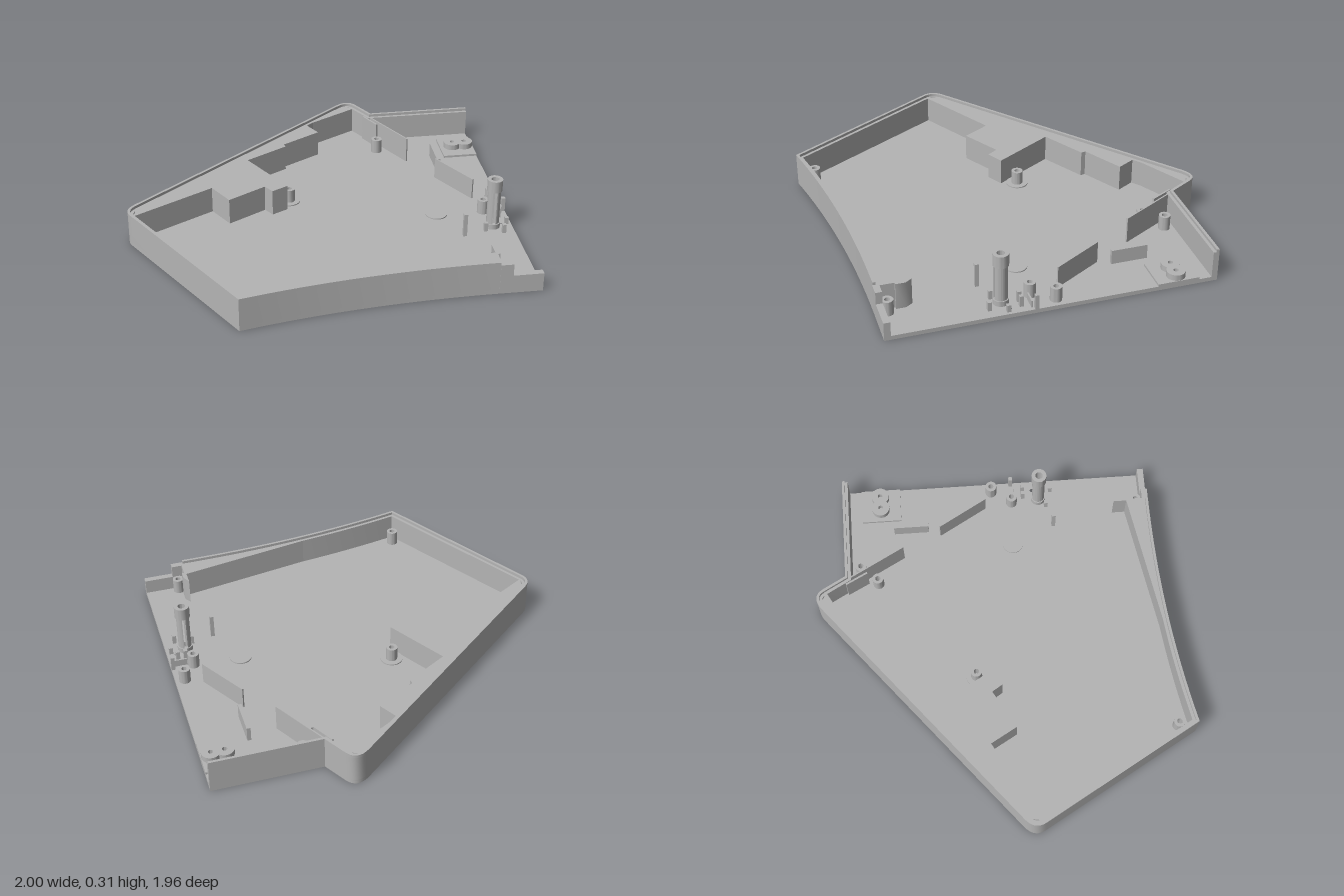
import * as THREE from 'three';
import { toCreasedNormals } from 'three/addons/utils/BufferGeometryUtils.js';

const plastic = new THREE.MeshStandardMaterial({ color: 0xb4b4b4 });
plastic.name = 'grey plastic';

const FLOOR = 0.022, LEDGE = 0.165, RIM = 0.18;

// plan points are [x, z]; shapes are drawn with y = -z and stood up on the y axis
const toShape = pts => new THREE.Shape(pts.map(([x, z]) => new THREE.Vector2(x, -z)));
const circle = (x, z, r) => new THREE.Path().absarc(x, -z, r, 0, Math.PI * 2, true);
const disc = (x, z, r) => new THREE.Shape().absarc(x, -z, r, 0, Math.PI * 2, false);

function curve(a, c, b, n) {
  const q = new THREE.QuadraticBezierCurve(...[a, c, b].map(p => new THREE.Vector2(...p)));
  return q.getPoints(n).map(p => [p.x, p.y]);
}

// band of given thickness on the inner side of an open outline
function band(pts, t) {
  const inner = pts.map((p, i) => {
    const dir = (a, b) => {
      const l = Math.hypot(b[0] - a[0], b[1] - a[1]);
      return [(b[0] - a[0]) / l, (b[1] - a[1]) / l];
    };
    const d1 = i > 0 ? dir(pts[i - 1], p) : dir(p, pts[i + 1]);
    const d2 = i < pts.length - 1 ? dir(p, pts[i + 1]) : d1;
    const n = [-d1[1] - d2[1], d1[0] + d2[0]];
    const k = 2 * t / (n[0] * n[0] + n[1] * n[1]);
    return [p[0] + n[0] * k, p[1] + n[1] * k];
  });
  return toShape([...pts, ...inner.reverse()]);
}

export function createModel() {
  const model = new THREE.Group();

  const prism = (name, shape, y0, y1, holes = []) => {
    shape.holes.push(...holes);
    const g = new THREE.ExtrudeGeometry(shape, { depth: y1 - y0, bevelEnabled: false, curveSegments: 16 });
    g.rotateX(-Math.PI / 2).translate(0, y0, 0);
    const mesh = new THREE.Mesh(toCreasedNormals(g, 0.6), plastic);
    mesh.name = name;
    model.add(mesh);
    return mesh;
  };
  const block = (name, x0, x1, z0, z1, y0, y1) =>
    prism(name, toShape([[x0, z0], [x1, z0], [x1, z1], [x0, z1]]), y0, y1);
  const rib = (name, a, b, t, y1) => prism(name, band([a, b], t), FLOOR, y1);

  // outline from the front notch, round the left side, to the open right end
  const front = curve([0.78, 0.843], [0.1, 0.84], [-0.51, 0.975], 16);
  const outline = [
    ...front,
    ...curve([-0.985, 0.145], [-1.022, 0.085], [-0.965, 0.035], 8),
    ...curve([0.25, -0.96], [0.325, -1.02], [0.365, -0.95], 8),
    [0.432, -0.83], [1, -0.83],
  ];

  // floor in two layers: foot recesses below, small sockets above
  const feet = [[0.45, -0.67], [0.63, 0.09], [-0.13, -0.16], [-0.48, 0.885]];
  const sockets = [[0.19, -0.375], [0.425, 0.035], [-0.245, 0.185], [0.255, 0.195], [-0.58, 0.335], [0.01, 0.395]];
  const through = [[0.88, -0.63], [0.95, -0.63], [0.95, 0.22]];
  const drill = () => through.map(([x, z]) => circle(x, z, 0.013));
  const plan = [...outline, [1, 0.845]];
  prism('floorUnderside', toShape(plan), 0, 0.01,
    [...drill(), ...feet.map(([x, z]) => circle(x, z, 0.05))]);
  prism('floor', toShape(plan), 0.01, FLOOR,
    [...drill(), ...sockets.map(([x, z]) => circle(x, z, 0.022))]);
  feet.slice(1, 3).forEach(([x, z]) => prism('footPad', disc(x, z, 0.058), FLOOR, FLOOR + 0.006));

  // outer wall with a thinner lip on top
  prism('outerWall', band(outline, 0.03), FLOOR, LEDGE);
  prism('wallLip', band(outline, 0.014), LEDGE, RIM);

  // stepped shelf along the back and wedge along the front
  prism('backShelf', toShape([
    [-0.97, 0.125], [-0.55, -0.11], [-0.47, 0.03], [-0.27, -0.085], [-0.235, -0.03], [-0.15, -0.075],
    [-0.33, -0.39], [-0.105, -0.52], [-0.11, -0.545], [0.1, -0.665], [0.045, -0.765], [0.35, -0.935],
    [0.3, -0.96], [0.26, -0.95], [-0.955, 0.05],
  ]), FLOOR, LEDGE);
  prism('frontWedge', toShape([...front, [-0.5, 0.95], [0.78, 0.725]]), FLOOR, LEDGE);

  // lower front wall beside the open end, with its end tab
  block('frontWallStep', 0.78, 0.845, 0.812, 0.845, FLOOR, LEDGE);
  block('frontWallLow', 0.845, 1, 0.812, 0.845, FLOOR, 0.1);
  prism('endTab', toShape([[0.78, 0.655], [0.803, 0.69], [0.803, 0.74], [0.79, 0.74], [0.79, 0.82], [0.78, 0.82]]), FLOOR, LEDGE);

  // ribs standing on the floor
  rib('backRib', [0.395, -0.83], [0.455, -0.715], 0.01, LEDGE);
  rib('backLongRib', [0.425, -0.82], [0.592, -0.515], 0.008, LEDGE);
  rib('middleRib', [0.712, -0.31], [0.862, -0.05], 0.008, 0.14);
  block('supportBlock', 0.732, 0.752, -0.56, -0.37, FLOOR, 0.1);

  // screw bosses
  [[0.44, -0.66], [0.52, -0.75], [-0.13, -0.16], [0.95, -0.01], [0.88, 0.1], [0.82, 0.785], [-0.48, 0.885]]
    .forEach(([x, z]) => prism('screwBoss', disc(x, z, 0.03), FLOOR, 0.1, [circle(x, z, 0.014)]));

  // connector plate with two drilled discs
  prism('connectorPlate', toShape([[0.81, -0.735], [1, -0.735], [1, -0.52], [0.81, -0.52]]), FLOOR, 0.034,
    drill().slice(0, 2));
  [0.88, 0.95].forEach(x =>
    prism('connectorDisc', disc(x, -0.63, 0.048), 0.034, 0.065, [circle(x, -0.63, 0.013)]));

  // tall slotted post with a collar
  const px = 0.895, pz = 0.25;
  [0, Math.PI].forEach(turn => {
    const half = new THREE.Shape();
    half.absarc(px, -pz, 0.034, turn - 1.3, turn + 1.3, false);
    half.absarc(px, -pz, 0.02, turn + 1.1, turn - 1.1, true);
    prism('postHalf', half, FLOOR, 0.24);
  });
  prism('postCollar', disc(px, pz, 0.04), 0.24, 0.305, [circle(px, pz, 0.02)]);
  prism('postBase', disc(px, pz, 0.04), FLOOR, 0.05, [circle(px, pz, 0.02)]);

  // small guide pins around the post
  [[0.73, 0.322, 0.15], [0.95, 0.165, 0.08], [0.85, 0.29, 0.07], [0.975, 0.235, 0.06],
    [0.91, 0.165, 0.08], [0.94, 0.32, 0.07], [0.99, 0.1, 0.1]]
    .forEach(([x, z, h]) => block('guidePin', x - 0.01, x + 0.01, z - 0.01, z + 0.01, FLOOR, h));
  block('guideBar', 0.91, 0.98, 0.115, 0.123, FLOOR, 0.06);

  return model;
}
